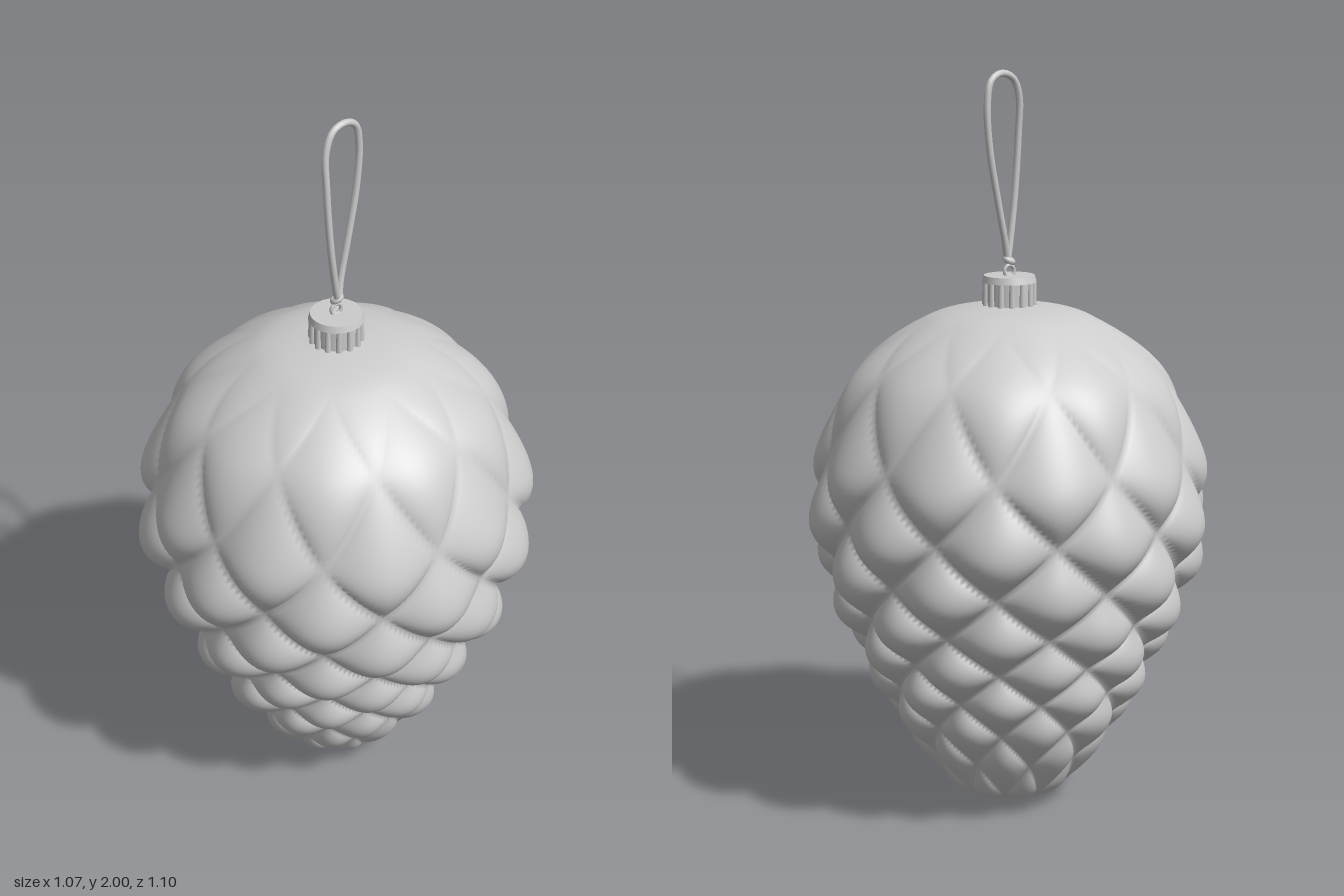
import * as THREE from 'three';

const SCALES = 10;   // scales in each ring
const STEP = 12;     // grid cells per half scale

// Envelope at the centre of each ring of scales, top to bottom: radius, height
const PROFILE = [
  [0.05, 1.385], [0.22, 1.35], [0.415, 1.215], [0.523, 1.0], [0.548, 0.835], [0.525, 0.695],
  [0.482, 0.575], [0.432, 0.47], [0.385, 0.37], [0.328, 0.27], [0.252, 0.16], [0.15, 0.045], [0, 0],
];
// Depth of the valleys between scales for each ring
const DEPTH = [0, 0.004, 0.018, 0.036, 0.054, 0.058, 0.055, 0.05, 0.045, 0.037, 0.026, 0.013, 0];

const material = new THREE.MeshStandardMaterial({ color: 0xcccccc, side: THREE.DoubleSide });

function addMesh(parent, name, geometry) {
  const mesh = new THREE.Mesh(geometry, material);
  mesh.name = name;
  parent.add(mesh);
  return mesh;
}

// Offset from the nearest even number, -1..1
const nearest = (s) => s - 2 * Math.round(s / 2);

// Revolved body whose surface swells into staggered diamond scales
function scaledBody() {
  const rings = PROFILE.length - 1;
  const rows = rings * STEP;
  const cols = SCALES * 2 * STEP;
  const curve = new THREE.SplineCurve(PROFILE.map(([r, y]) => new THREE.Vector2(r, y)));
  const positions = [];
  const indices = [];
  for (let i = 0; i <= rows; i++) {
    const t = i / STEP;
    const p = curve.getPoint(i / rows);
    const k = Math.min(Math.floor(t), rings - 1);
    const depth = THREE.MathUtils.lerp(DEPTH[k], DEPTH[k + 1], t - k);
    for (let j = 0; j < cols; j++) {
      const u = j / STEP;
      const a = nearest(u + t);
      const b = nearest(u - t);
      const down = (a - b) / 2;
      // soft pillow shape, slightly fuller toward the lower tip
      const pillow = Math.pow(Math.max(0, (1 - a * a) * (1 - b * b)), 0.8);
      const h = pillow * (1 + 0.15 * down);
      const r = Math.max(0, p.x - depth * (1 - h));
      const y = Math.max(0, p.y - depth * 0.2 * pillow);
      const angle = (u * Math.PI) / SCALES;
      positions.push(r * Math.sin(angle), y, r * Math.cos(angle));
      if (i < rows) {
        const n = (j + 1) % cols;
        const A = i * cols + j, B = i * cols + n, C = A + cols, D = B + cols;
        // split each cell along the valley that crosses it
        if (Math.abs((j - i) % (2 * STEP)) === STEP) indices.push(A, C, D, A, D, B);
        else indices.push(A, C, B, B, C, D);
      }
    }
  }
  const geometry = new THREE.BufferGeometry();
  geometry.setAttribute('position', new THREE.Float32BufferAttribute(positions, 3));
  geometry.setIndex(indices);
  geometry.computeVertexNormals();
  return geometry;
}

// Metal cap: plain core, rim and a ring of flutes
function createCap() {
  const cap = new THREE.Group();
  cap.name = 'cap';
  addMesh(cap, 'capCore', new THREE.CylinderGeometry(0.064, 0.064, 0.1, 40)).position.y = 1.4;
  addMesh(cap, 'capTop', new THREE.CylinderGeometry(0.068, 0.073, 0.018, 40)).position.y = 1.452;
  const flutes = 14;
  for (let i = 0; i < flutes; i++) {
    const angle = (i / flutes) * Math.PI * 2;
    const flute = addMesh(cap, 'capFlute', new THREE.CylinderGeometry(0.007, 0.009, 0.075, 8));
    flute.position.set(0.065 * Math.sin(angle), 1.408, 0.065 * Math.cos(angle));
  }
  return cap;
}

// Hanging cord: a leaning loop knotted above a small eyelet
function createHanger() {
  const hanger = new THREE.Group();
  hanger.name = 'hanger';
  const points = [
    [0.004, 1.5, 0.004], [-0.014, 1.58, 0.012], [-0.028, 1.7, 0.014], [-0.034, 1.83, 0.01],
    [-0.03, 1.93, 0], [-0.005, 1.978, -0.008], [0.035, 1.99, -0.014], [0.07, 1.97, -0.022],
    [0.083, 1.91, -0.026], [0.075, 1.8, -0.024], [0.045, 1.66, -0.016], [0.018, 1.55, -0.008],
  ].map((p) => new THREE.Vector3(...p));
  const path = new THREE.CatmullRomCurve3(points, true);
  addMesh(hanger, 'cordLoop', new THREE.TubeGeometry(path, 72, 0.0095, 8, true));

  const eyelet = addMesh(hanger, 'eyelet', new THREE.TorusGeometry(0.015, 0.005, 8, 20));
  eyelet.position.y = 1.472;
  const knot = addMesh(hanger, 'knot', new THREE.TorusGeometry(0.012, 0.008, 8, 16));
  knot.position.set(0.002, 1.502, 0);
  knot.rotation.set(1.2, 0.4, 0);
  return hanger;
}

export function createModel() {
  const model = new THREE.Group();
  model.name = 'pineConeOrnament';
  addMesh(model, 'scaledBody', scaledBody());
  model.add(createCap(), createHanger());
  return model;
}
